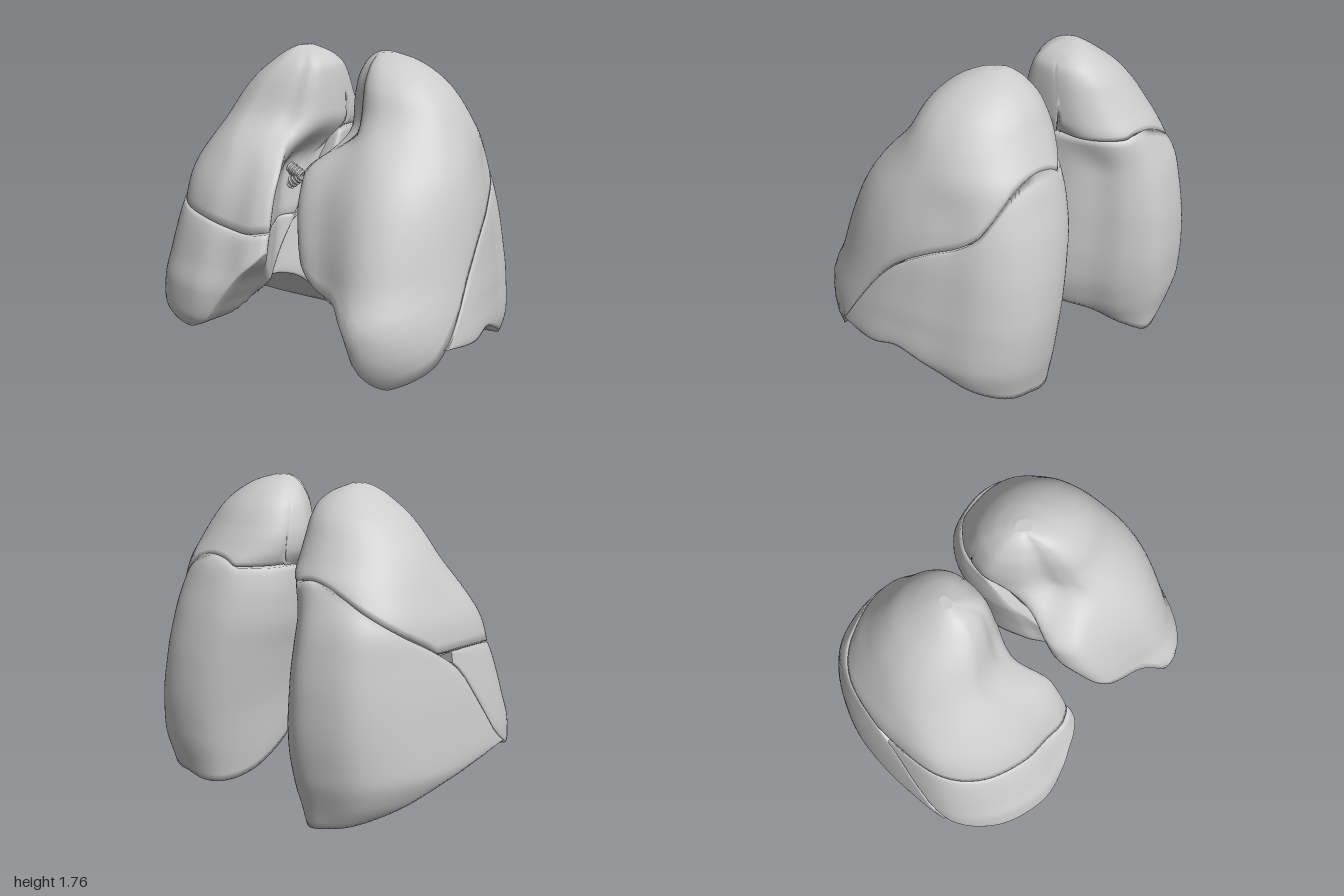
import * as THREE from 'three';

const material = new THREE.MeshStandardMaterial({ color: 0xcccccc, roughness: 0.6, side: THREE.DoubleSide });
const { lerp, smoothstep, clamp } = THREE.MathUtils;
const N = 126, CAP = 16, WALL = 32, TOP = 1.767;

// Smooth function through [input, value] pairs, clamped at both ends
function curve(p) {
  const n = p.length - 1;
  const sec = i => (p[i + 1][1] - p[i][1]) / (p[i + 1][0] - p[i][0]);
  const slope = p.map((_, i) => {
    const a = sec(Math.max(i - 1, 0)), b = sec(Math.min(i, n - 1));
    return a * b <= 0 ? 0 : 2 * a * b / (a + b);
  });
  return x => {
    if (x <= p[0][0]) return p[0][1];
    if (x >= p[n][0]) return p[n][1];
    let i = 0;
    while (x > p[i + 1][0]) i++;
    const h = p[i + 1][0] - p[i][0], t = (x - p[i][0]) / h, t2 = t * t, t3 = t2 * t;
    return (2 * t3 - 3 * t2 + 1) * p[i][1] + (t3 - 2 * t2 + t) * h * slope[i]
      + (3 * t2 - 2 * t3) * p[i + 1][1] + (t3 - t2) * h * slope[i + 1];
  };
}

// Plan outlines in a unit box: u medial to lateral, v back to front
function outline(lateral, medial) {
  const points = [...lateral, ...medial].map(([u, v]) => new THREE.Vector3(u, 0, v));
  const c = new THREE.CatmullRomCurve3(points, true, 'centripetal');
  return Array.from({ length: N }, (_, i) => c.getPoint(i / N));
}
const apexSide = [[0.45, 0], [0.65, 0.04], [0.8, 0.13], [0.92, 0.27], [0.98, 0.42], [1, 0.58], [0.95, 0.76], [0.8, 0.92], [0.6, 1]];
const leftSide = [[0.4, 0], [0.63, 0.03], [0.79, 0.13], [0.88, 0.28], [0.95, 0.41], [1, 0.58], [0.97, 0.75], [0.82, 0.92], [0.62, 1]];
const rightSide = [[0.42, 0], [0.62, 0.01], [0.8, 0.065], [0.91, 0.17], [0.97, 0.3], [1, 0.55], [0.96, 0.79], [0.78, 0.93], [0.47, 1]];
const leftApex = outline(apexSide, [[0.45, 0.97], [0.36, 0.88], [0.28, 0.76], [0.14, 0.67], [0.05, 0.55], [0, 0.43],
  [0.01, 0.32], [0.07, 0.17], [0.22, 0.05]]);
const rightApex = outline(apexSide, [[0.45, 0.98], [0.3, 0.93], [0.2, 0.87], [0.1, 0.82], [0.03, 0.74], [0, 0.6],
  [0, 0.4], [0.06, 0.2], [0.22, 0.05]]);
const leftShape = outline(leftSide, [[0.3, 0.97], [0.08, 0.95], [0, 0.86], [0.01, 0.78], [0.09, 0.7], [0.18, 0.62],
  [0.14, 0.53], [0.04, 0.36], [0.2, 0.05]]);
const rightShape = outline(rightSide, [[0.25, 0.99], [0.08, 0.985], [0, 0.95], [0.1, 0.86], [0.19, 0.76], [0.26, 0.66],
  [0.2, 0.52], [0.06, 0.3], [0.22, 0.05]]);
const leftLower = outline(leftSide, [[0.3, 0.93], [0.14, 0.8], [0.11, 0.7], [0.13, 0.62], [0.1, 0.55], [0.04, 0.48],
  [0, 0.36], [0.02, 0.2], [0.17, 0.05]]);
const rightLower = outline(rightSide, [[0.36, 0.9], [0.3, 0.75], [0.27, 0.6], [0.22, 0.53], [0.1, 0.49], [0, 0.475],
  [0.05, 0.32], [0.17, 0.19], [0.26, 0.08]]);

// Point i of the lung's plan outline at height y
function lungPoint(lung, shape, i, y, inset = 1) {
  const k = smoothstep(y, lung.neck, 1.38);
  const u = 0.55 + (lerp(shape[i].x, lung.apex[i].x, k) - 0.55) * inset;
  const v = 0.5 + (lerp(shape[i].z, lung.apex[i].z, k) - 0.5) * inset;
  return [lerp(lung.inner(y), lung.outer(y), u), lerp(lung.back(y), lung.front(y), v)];
}

// A lobe is the part of the lung between two height fields, bottom and top
function lobe(name, lung, { bottom, top, shape = lung.shape, zMin = -9, zMax = 9, isApex = false }) {
  const at = (i, y, inset) => {
    const [x, z] = lungPoint(lung, shape, i, y, inset);
    return [x, clamp(z, zMin, zMax)];
  };
  const meet = (i, field) => {
    let lo = -0.1, hi = TOP;
    for (let s = 0; s < 28; s++) {
      const mid = (lo + hi) / 2;
      if (mid < field(...at(i, mid))) lo = mid; else hi = mid;
    }
    return (lo + hi) / 2;
  };
  const upper = (x, z) => Math.max(top(x, z), bottom(x, z) + 0.004);
  const wall = [];
  const y0 = [], y1 = [];
  for (let i = 0; i < N; i++) {
    y0.push(meet(i, bottom));
    y1.push(isApex ? TOP : Math.max(meet(i, top), y0[i] + 0.004));
  }
  for (let j = 0; j <= WALL; j++) {
    const t = j / WALL, s = isApex ? Math.sin(t * Math.PI / 2) : t;
    const edge = isApex ? Math.max(0, 1 - 2 * t) : Math.abs(2 * t - 1);
    wall.push(y0.map((y, i) => {
      const h = lerp(y, y1[i], s), [x, z] = at(i, h, 1 - 0.02 * edge ** 8);
      return [x, h, z];
    }));
  }
  // Caps shrink a ring to its middle while following the height field
  const cap = (ring, field) => {
    const cx = ring.reduce((a, p) => a + p[0], 0) / N, cz = ring.reduce((a, p) => a + p[2], 0) / N;
    return Array.from({ length: CAP }, (_, r) => {
      const s = Math.max(1 - (r + 1) / CAP, 0.001);
      return ring.map(p => {
        const x = lerp(cx, p[0], s), z = lerp(cz, p[2], s);
        return [x, field(x, z), z];
      });
    });
  };
  const rows = [...cap(wall[0], bottom).reverse(), ...wall, ...cap(wall[WALL], isApex ? () => TOP : upper)];
  const index = [];
  for (let j = 0; j < rows.length - 1; j++) {
    for (let i = 0; i < N; i++) {
      const a = j * N + i, b = j * N + (i + 1) % N, c = a + N, d = b + N;
      if (lung.side > 0) index.push(a, c, b, b, c, d);
      else index.push(a, b, c, b, d, c);
    }
  }
  const positions = rows.flat().flatMap(([x, y, z]) => [x * lung.side, y, z]);
  const g = new THREE.BufferGeometry();
  g.setAttribute('position', new THREE.Float32BufferAttribute(positions, 3));
  g.setIndex(index);
  g.computeVertexNormals();
  const mesh = new THREE.Mesh(g, material);
  mesh.name = name;
  return mesh;
}

// Ribbed airway branches in the hollow of the medial side
function bronchi(name, side) {
  const group = new THREE.Group();
  group.name = name;
  for (const [yEnd, zEnd] of [[1.14, 0.08], [0.88, 0.06]]) {
    const path = new THREE.CatmullRomCurve3([[0.24, 1.03, 0.04], [0.33, lerp(1.03, yEnd, 0.4), 0.05], [0.46, yEnd, zEnd]]
      .map(([x, y, z]) => new THREE.Vector3(x * side, y, z)));
    group.add(new THREE.Mesh(new THREE.TubeGeometry(path, 20, 0.03, 12), material));
    for (let i = 0; i <= 9; i++) {
      const ring = new THREE.Mesh(new THREE.TorusGeometry(0.03, 0.007, 6, 14), material);
      ring.position.copy(path.getPoint(i / 9));
      ring.lookAt(ring.position.clone().add(path.getTangent(i / 9)));
      group.add(ring);
    }
  }
  return group;
}

// Oblique fissure that stays high along the medial side of the back
function oblique(points) {
  const f = curve(points);
  return (x, z) => {
    const y = f(z), lift = 0.38 * (1 - smoothstep(x, 0.12, 0.55)) * (1 - smoothstep(z, -0.25, 0.08));
    return Math.min(y + lift, Math.max(y, 1.29));
  };
}

const back = curve([[0, -0.66], [0.1, -0.67], [0.3, -0.71], [0.55, -0.73], [0.75, -0.72], [1, -0.68], [1.18, -0.63],
  [1.3, -0.595], [1.4, -0.53], [1.5, -0.47], [1.6, -0.41], [1.7, -0.31], [1.75, -0.22], [1.77, -0.16]]);

const left = {
  side: 1, back, shape: leftShape, apex: leftApex, neck: 1.14,
  front: curve([[0.05, 0.56], [0.15, 0.67], [0.3, 0.72], [0.44, 0.73], [0.6, 0.66], [0.81, 0.6], [1.05, 0.51],
    [1.23, 0.4], [1.45, 0.22], [1.6, 0.15], [1.7, 0.06], [1.75, -0.03], [1.77, -0.1]]),
  inner: curve([[0.1, 0.15], [0.5, 0.12], [0.8, 0.07], [1, 0.03], [1.3, 0.015], [1.45, 0], [1.6, 0.03],
    [1.7, 0.09], [1.75, 0.15], [1.77, 0.2]]),
  outer: curve([[0.1, 0.95], [0.3, 1], [0.5, 0.98], [0.65, 0.955], [0.95, 0.91], [1.15, 0.86], [1.33, 0.785],
    [1.5, 0.7], [1.62, 0.6], [1.73, 0.42], [1.77, 0.27]]),
};
const right = {
  side: -1, back, shape: rightShape, apex: rightApex, neck: 1.08,
  front: curve([[0.1, 0.62], [0.3, 0.72], [0.45, 0.71], [0.6, 0.66], [0.8, 0.59], [1, 0.51], [1.2, 0.38], [1.4, 0.22],
    [1.6, 0.12], [1.7, 0.04], [1.75, -0.04], [1.77, -0.1]]),
  inner: curve([[0, 0.23], [0.08, 0.17], [0.2, 0.09], [0.4, 0.045], [0.8, 0.08], [1.1, 0.11], [1.5, 0.13], [1.65, 0.15],
    [1.72, 0.21], [1.77, 0.32]]),
  outer: curve([[0, 0.8], [0.07, 0.87], [0.17, 0.95], [0.32, 1], [0.6, 0.98], [0.9, 0.94], [1.05, 0.92], [1.22, 0.86],
    [1.43, 0.76], [1.58, 0.64], [1.7, 0.49], [1.75, 0.41], [1.77, 0.36]]),
};

export function createModel() {
  const model = new THREE.Group();
  model.name = 'lungs';
  const dome = (x, z) => Math.max(0, 1 - ((x - 0.53) / 0.46) ** 2 - (z / 0.68) ** 2);

  // Left lung: oblique fissure, front margin and diaphragm surface
  const fissureL = oblique([[-0.62, 1.55], [-0.565, 1.36], [-0.55, 1.24], [-0.49, 1.07], [-0.39, 0.99], [-0.25, 0.93],
    [-0.06, 0.82], [0.08, 0.68], [0.22, 0.49], [0.34, 0.32], [0.42, 0.21], [0.6, 0.1]]);
  const marginL = curve([[0, 1], [0.07, 0.87], [0.13, 0.75], [0.23, 0.64], [0.33, 0.58], [0.46, 0.55], [0.57, 0.44],
    [0.65, 0.24], [0.72, 0.15], [0.81, 0.1], [1, 0.1]]);
  const baseL = curve([[-0.66, 0.07], [-0.5, 0.13], [-0.3, 0.22], [-0.05, 0.32], [0.1, 0.3], [0.36, 0.32]]);
  const leftLung = new THREE.Group();
  leftLung.name = 'leftLung';
  leftLung.add(
    lobe('leftUpperLobe', left, { bottom: (x, z) => Math.max(fissureL(x, z) + 0.008, marginL(x)), top: () => TOP, isApex: true }),
    lobe('leftLowerLobe', left, {
      bottom: (x, z) => baseL(z) - 0.4 * Math.min(0, x - 0.5) * (z + 0.05) + 0.17 * dome(x, z),
      top: fissureL, shape: leftLower, zMax: 0.35,
    }),
    bronchi('leftBronchi', 1));

  // Right lung: oblique and horizontal fissures make three lobes
  const fissureR = oblique([[-0.64, 1.5], [-0.59, 1.32], [-0.53, 1.18], [-0.4, 1.07], [-0.2, 0.96], [0, 0.83],
    [0.15, 0.63], [0.3, 0.42], [0.6, 0.2]]);
  const horizontal = curve([[0.08, 0.8], [0.2, 0.785], [0.5, 0.83], [0.8, 0.875], [0.95, 0.94]]);
  const marginR = curve([[0.05, 0.72], [0.1, 0.65], [0.19, 0.56], [0.3, 0.41], [0.4, 0.28], [0.58, 0.22], [0.8, 0.27], [1, 0.34]]);
  const baseR = curve([[-0.66, 0], [-0.5, 0.035], [-0.3, 0.12], [0, 0.24], [0.35, 0.32]]);
  const rightLung = new THREE.Group();
  rightLung.name = 'rightLung';
  rightLung.add(
    lobe('rightUpperLobe', right, { bottom: (x, z) => Math.max(fissureR(x, z), horizontal(x)) + 0.008, top: () => TOP, isApex: true }),
    lobe('rightMiddleLobe', right, { bottom: (x, z) => Math.max(fissureR(x, z) + 0.004, marginR(x)), top: horizontal, zMin: -0.05 }),
    lobe('rightLowerLobe', right, {
      bottom: (x, z) => baseR(z) + 0.15 * (x - 0.5) ** 2 + 0.24 * dome(x, z), top: fissureR, shape: rightLower, zMax: 0.38,
    }),
    bronchi('rightBronchi', -1));

  model.add(leftLung, rightLung);
  return model;
}
